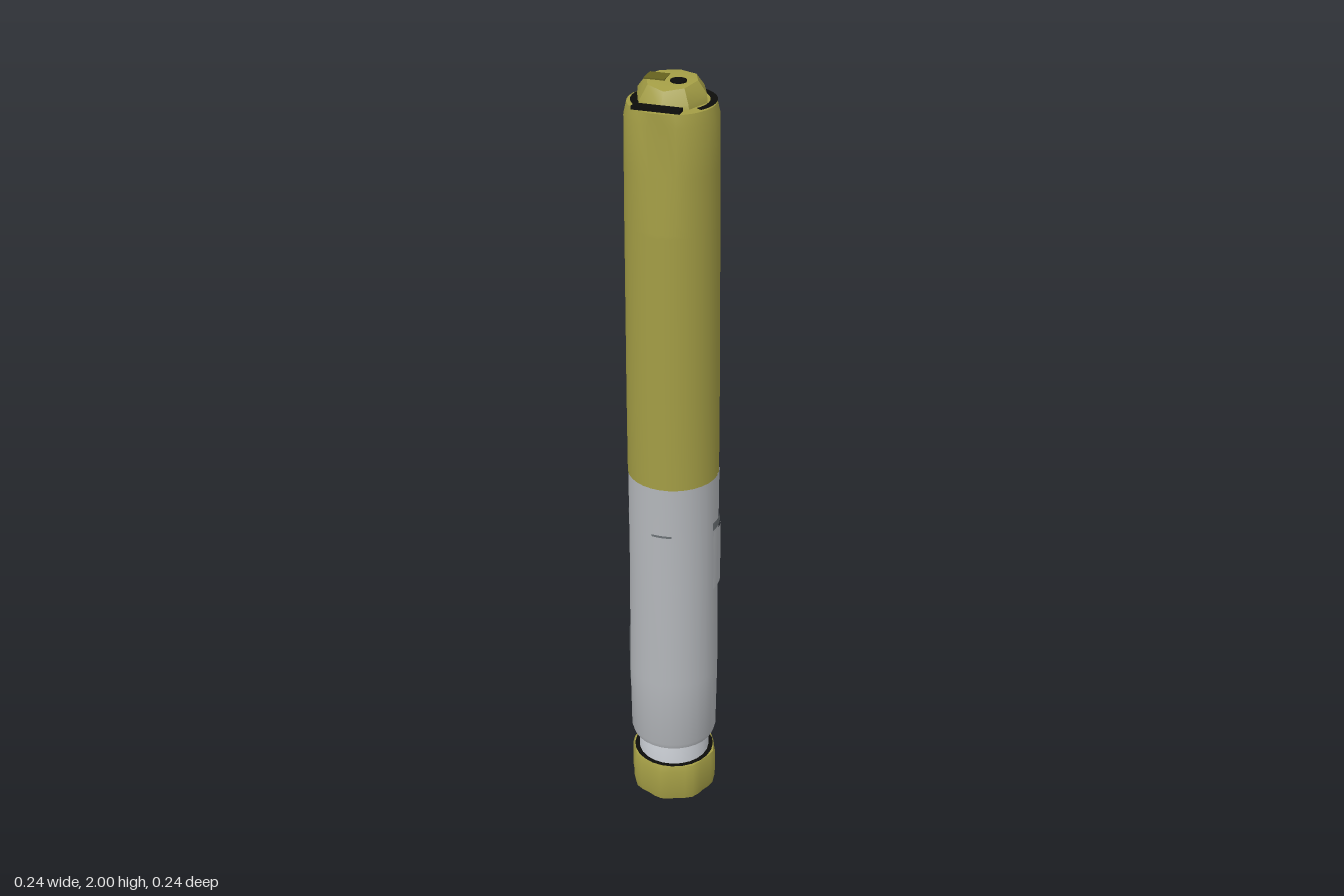
import * as THREE from 'three';
import { toCreasedNormals } from 'three/addons/utils/BufferGeometryUtils.js';

const material = (name, color, side = THREE.FrontSide) => {
  const m = new THREE.MeshStandardMaterial({ color, side });
  m.name = name;
  return m;
};

export function createModel() {
  const model = new THREE.Group();
  const olive = material('olive', 0xa39d45);
  const darkOlive = material('dark olive', 0x66621f);
  const grey = material('grey', 0xb4b7bb);
  const paleGrey = material('pale grey', 0xcdd1d7);
  const darkGrey = material('dark grey', 0x6c7276, THREE.DoubleSide);
  const black = material('black', 0x0c0c0a, THREE.DoubleSide);

  const add = (name, geometry, mat, x = 0, y = 0, z = 0) => {
    const mesh = new THREE.Mesh(geometry, mat);
    mesh.name = name;
    mesh.position.set(x, y, z);
    model.add(mesh);
    return mesh;
  };

  // Turned profile, optionally reshaped by a rule acting on each vertex
  const turned = (profile, sides, rule) => {
    const g = new THREE.LatheGeometry(profile.map(([r, y]) => new THREE.Vector2(r, y)), sides);
    const p = g.attributes.position;
    const v = new THREE.Vector3();
    if (rule) {
      for (let i = 0; i < p.count; i++) {
        v.fromBufferAttribute(p, i);
        rule(v);
        p.setXYZ(i, v.x, v.y, v.z);
      }
    }
    return toCreasedNormals(g, 0.6);
  };

  // Thin curved patch; angle 0 faces +z, a quarter turn faces +x
  const patch = (name, mat, radius, y0, y1, angle, span) => add(name,
    new THREE.CylinderGeometry(radius, radius, y1 - y0, 8, 1, true, angle - span / 2, span),
    mat, 0, (y0 + y1) / 2, 0.002);

  const arc = (name, inner, outer, y, start, length) => {
    const g = new THREE.RingGeometry(inner, outer, 24, 1, start, length);
    g.rotateX(-Math.PI / 2);
    return add(name, g, black, 0, y, 0);
  };

  // Scalloped end cap
  add('endCap', turned([[0, 0.004], [0.09, 0.01], [0.108, 0.018], [0.113, 0.045],
    [0.113, 0.11], [0.108, 0.125], [0, 0.125]], 32, (v) => {
    const s = 1 + 0.03 * Math.cos(8 * Math.atan2(v.z, v.x));
    v.x *= s;
    v.z *= s;
  }), olive);
  arc('endCapGroove', 0.09, 0.106, 0.127, 0, Math.PI * 2);

  // Neck and lower barrel
  add('neck', turned([[0.094, 0.12], [0.094, 0.16], [0.09, 0.2]], 24), paleGrey);
  add('lowerBarrel', turned([[0, 0.19], [0.108, 0.19], [0.113, 0.205], [0.116, 0.4],
    [0.114, 0.7], [0.115, 0.992], [0, 0.992]], 28), grey, 0, 0, 0.002);

  // Marks and raised panel on the lower barrel
  patch('sidePanel', grey, 0.12, 0.67, 0.84, Math.PI / 2, 0.5);
  patch('sideMark', darkGrey, 0.1175, 0.843, 0.865, Math.PI / 2, 0.5);
  patch('backMark', darkGrey, 0.1165, 0.85, 0.864, -Math.PI / 2, 0.5);
  patch('frontMark', darkGrey, 0.1165, 0.852, 0.858, 0.05, 0.45);
  patch('sideShade', darkGrey, 0.118, 0.33, 0.5, -Math.PI / 2, 0.45);

  // Upper barrel, with its front and back cut flat near the top
  const flatStart = 1.665;
  add('upperBarrel', turned([[0.115, 0.99], [0.115, 1.2], [0.113, 1.655], [0.113, flatStart],
    [0.112, 1.8], [0.111, 1.92], [0.104, 1.95], [0, 1.95]], 32, (v) => {
    v.x -= 0.004 * Math.max(0, v.y - 1);
    v.z += 0.004;
    if (v.y >= flatStart) v.z = THREE.MathUtils.clamp(v.z, -0.09, 0.105);
  }), olive);

  // Two-tone window on the back flat
  add('windowLower', new THREE.BoxGeometry(0.105, 0.19, 0.006), grey, -0.006, 1.765, -0.09);
  add('windowUpper', new THREE.BoxGeometry(0.105, 0.075, 0.006), darkGrey, -0.006, 1.8975, -0.09);

  // Opening around the button
  arc('openingLeft', 0.083, 0.1, 1.953, -0.6, 1.7);
  arc('openingRight', 0.083, 0.1, 1.953, 2.65, 1.3);
  add('frontLip', new THREE.BoxGeometry(0.115, 0.008, 0.026), black, -0.01, 1.958, 0.092);

  // Faceted push button, leaning down at the front
  const button = turned([[0.085, 1.945], [0.083, 1.972], [0.062, 2], [0, 2]], 8, (v) => {
    v.x -= 0.006;
    v.z -= 0.004;
    if (v.y > 1.96) v.y -= Math.max(0, v.z - 0.02) * 0.35;
  });
  add('button', button, olive);
  add('buttonShade', new THREE.BoxGeometry(0.05, 0.004, 0.045), darkOlive, -0.043, 1.9985, -0.008);
  add('buttonDot', new THREE.CylinderGeometry(0.019, 0.019, 0.004, 16), black, 0.014, 1.9995, 0.009);

  return model;
}
